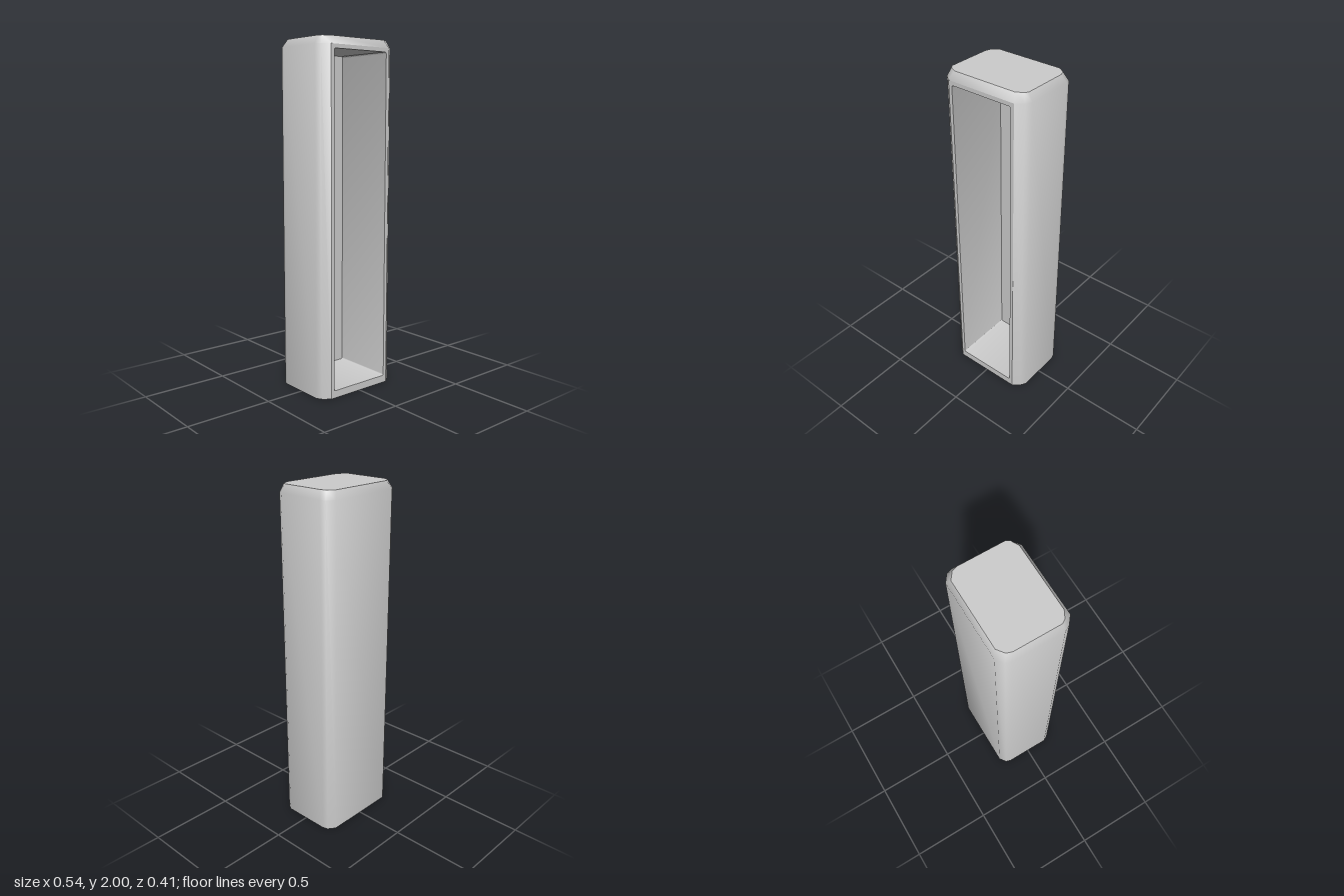
import * as THREE from 'three';
import { toCreasedNormals } from 'three/addons/utils/BufferGeometryUtils.js';

const V2 = (x, y) => new THREE.Vector2(x, y);
const FRONT = 0.202, BACK = -0.203;

// Full plan outline (x, z) from its right half, front to back
function mirrored(half) {
  const pts = half.map(([x, z]) => [x, z]);
  const left = half.map(([x, z]) => [-x, z]).reverse();
  return [left[left.length - 1], ...pts, ...left.slice(0, -1)];
}

// Skin through closed rings of [x, y, z] points; skip(row, i) leaves a gap
function loft(rings, crease, skip = () => false) {
  const n = rings[0].length, index = [];
  for (let r = 0; r < rings.length - 1; r++) {
    for (let i = 0; i < n; i++) {
      if (skip(r, i)) continue;
      const a = r * n + i, b = r * n + (i + 1) % n;
      index.push(a, b, a + n, b, b + n, a + n);
    }
  }
  const geo = new THREE.BufferGeometry();
  geo.setAttribute('position', new THREE.Float32BufferAttribute(rings.flat(2), 3));
  geo.setIndex(index);
  return toCreasedNormals(geo, crease);
}

export function createModel() {
  const group = new THREE.Group();
  const material = new THREE.MeshStandardMaterial({ color: 0xcccccc });
  const add = (name, geo) => {
    const mesh = new THREE.Mesh(geo, material);
    mesh.name = name;
    group.add(mesh);
  };

  const outer = mirrored([[0.21, FRONT], [0.252, 0.168], [0.269, 0.137],
    [0.269, -0.143], [0.26, -0.173], [0.219, BACK]]);
  const top = mirrored([[0.191, 0.176], [0.232, 0.154], [0.245, 0.134],
    [0.245, -0.123], [0.235, -0.154], [0.195, -0.184]]);
  const recess = outer.map(([x, z]) => [x * 0.86, z * 0.82]);
  const at = (plan, y) => plan.map(([x, z]) => [x, y, z]);

  // Outer walls with the sloping top bevel, open at the front panel
  const shoulder = 1.955;
  add('outerShell', loft([at(outer, 0), at(outer, shoulder), at(top, 2)], 0.9,
    (row, i) => row === 0 && i === 0));

  // Flat top
  const cap = new THREE.ShapeGeometry(new THREE.Shape(top.map(([x, z]) => V2(x, -z))));
  add('topCap', cap.rotateX(-Math.PI / 2).translate(0, 2, 0));

  // Rounded opening, counterclockwise from its lower left
  const w = 0.189, y0 = 0.043, y1 = 1.932, r = 0.009;
  const opening = [];
  [[w - r, y0 + r], [w - r, y1 - r], [r - w, y1 - r], [r - w, y0 + r]].forEach(([cx, cy], k) => {
    for (let s = 0; s <= 3; s++) {
      const a = (k - 1 + s / 3) * Math.PI / 2;
      opening.push([cx + r * Math.cos(a), cy + r * Math.sin(a)]);
    }
  });
  const openingPts = opening.map(([x, y]) => V2(x, y));

  // Front frame around the opening
  const frame = new THREE.Shape([V2(-0.21, 0), V2(0.21, 0), V2(0.21, shoulder), V2(-0.21, shoulder)]);
  frame.holes.push(new THREE.Path(openingPts));
  add('frontFrame', new THREE.ShapeGeometry(frame).translate(0, 0, FRONT));

  // Deep hollow behind the opening
  const depth = -0.178;
  add('cavityWalls', loft([FRONT, depth].map(z => opening.map(([x, y]) => [x, y, z])), 0.6));
  add('cavityBack', new THREE.ShapeGeometry(new THREE.Shape(openingPts)).translate(0, 0, depth));

  // Underside: rim, shallow step and recessed panel
  const step = 0.012;
  const plan = pts => pts.map(([x, z]) => V2(x, z));
  const rim = new THREE.Shape(plan(outer));
  rim.holes.push(new THREE.Path(plan(recess)));
  add('bottomRim', new THREE.ShapeGeometry(rim).rotateX(Math.PI / 2));
  add('bottomStep', loft([at(recess, step), at(recess, 0)], 0.9));
  const panel = new THREE.ShapeGeometry(new THREE.Shape(plan(recess)));
  add('bottomPanel', panel.rotateX(Math.PI / 2).translate(0, step, 0));

  return group;
}
